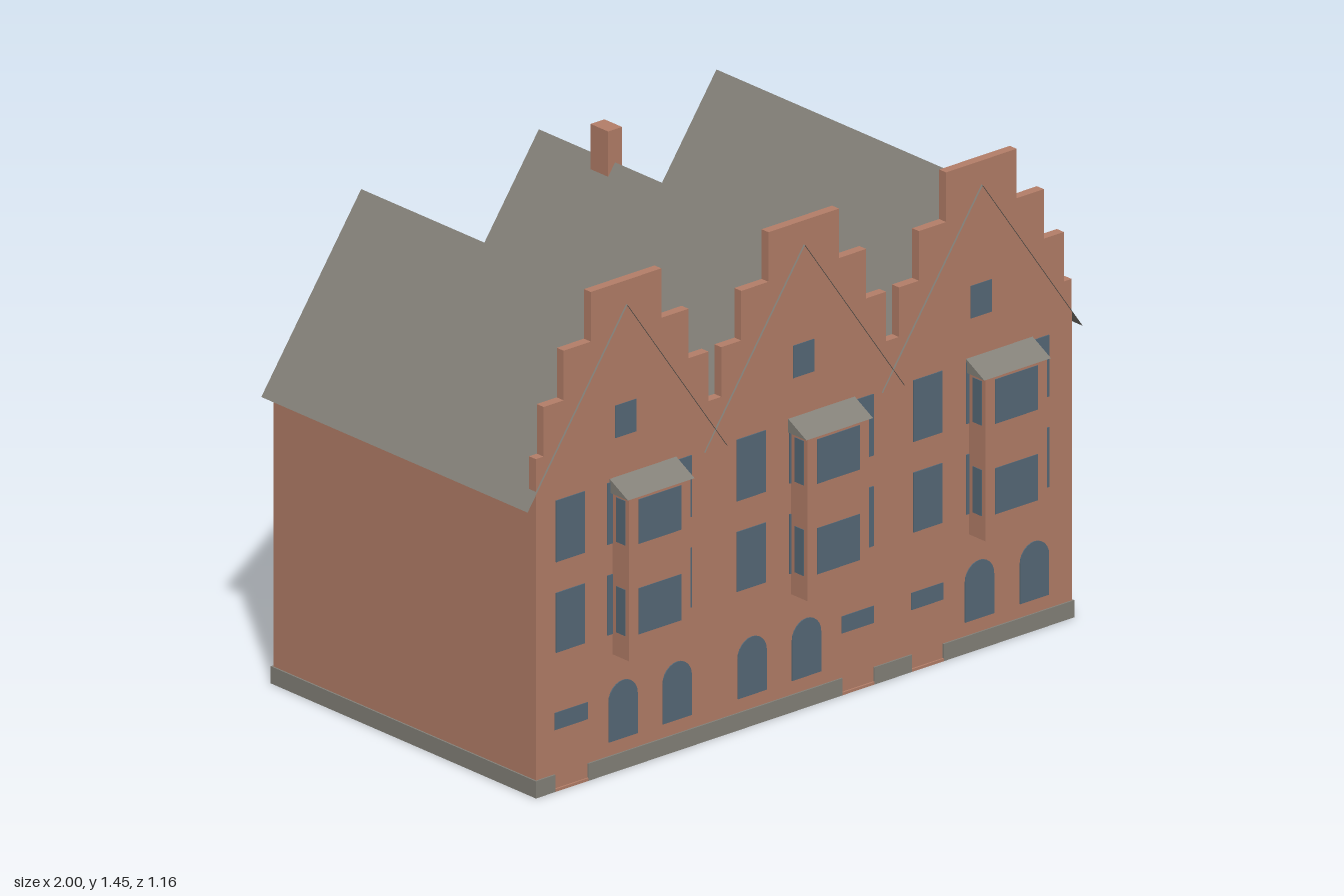
import * as THREE from 'three';

const brick = new THREE.MeshStandardMaterial({ name: 'brick', color: 0xb57f69, side: THREE.DoubleSide });
const slate = new THREE.MeshStandardMaterial({ name: 'slate', color: 0x85827a, side: THREE.DoubleSide });
const glass = new THREE.MeshStandardMaterial({ name: 'glass', color: 0x576a78, side: THREE.DoubleSide });

const FRONT = 0.505, BACK = -0.57, SIDE = 0.965;
const RIDGE = 1.355, SLOPE = 1.417, EAVE = 0.36;
const HOUSES = [-0.64, 0, 0.64];

export function createModel() {
  const model = new THREE.Group();
  model.name = 'townHouses';

  const add = (name, geometry, material, parent = model) => {
    const mesh = new THREE.Mesh(geometry, material);
    mesh.name = name;
    parent.add(mesh);
    return mesh;
  };
  // box given by its limits
  const box = (name, material, x0, x1, y0, y1, z0, z1, parent) =>
    add(name, new THREE.BoxGeometry(x1 - x0, y1 - y0, z1 - z0), material, parent)
      .position.set((x0 + x1) / 2, (y0 + y1) / 2, (z0 + z1) / 2);
  const shapeOf = (points) => new THREE.Shape(points.map(([x, y]) => new THREE.Vector2(x, y)));

  // gabled front and back walls, open underneath
  const eaveY = RIDGE - SLOPE * 0.325, valleyY = RIDGE - SLOPE * 0.32;
  const gables = shapeOf([
    [-SIDE, 0], [SIDE, 0], [SIDE, eaveY], [0.64, RIDGE], [0.32, valleyY],
    [0, RIDGE], [-0.32, valleyY], [-0.64, RIDGE], [-SIDE, eaveY],
  ]);
  add('frontWall', new THREE.ShapeGeometry(gables), brick).position.z = FRONT;
  const backWall = add('backWall', new THREE.ShapeGeometry(gables), brick);
  backWall.rotation.y = Math.PI;
  backWall.position.z = BACK;

  // side walls
  for (const s of [-1, 1]) {
    const wall = add(s > 0 ? 'leftWall' : 'rightWall', new THREE.PlaneGeometry(FRONT - BACK, eaveY), brick);
    wall.rotation.y = s * Math.PI / 2;
    wall.position.set(s * SIDE, eaveY / 2, (FRONT + BACK) / 2);
  }

  // thin pitched roofs crossing at the valleys
  const length = 1.09, drop = SLOPE * EAVE, width = Math.hypot(EAVE, drop);
  for (const x of HOUSES) {
    for (const s of [-1, 1]) {
      const slope = new THREE.PlaneGeometry(width, length);
      slope.rotateX(-Math.PI / 2);
      slope.rotateZ(-s * Math.atan(SLOPE));
      add('roofSlope', slope, slate).position.set(x + s * EAVE / 2, RIDGE - drop / 2, -0.035);
    }
  }

  // stepped parapets behind the front wall
  const steps = [[0.325, 0.99], [0.297, 1.135], [0.225, 1.28], [0.127, 1.425]];
  const outline = [[0.325, eaveY]];
  steps.forEach(([w, top], i) => {
    outline.push([w, top]);
    if (steps[i + 1]) outline.push([steps[i + 1][0], top]);
  });
  const parapet = shapeOf([...outline, ...outline.map(([x, y]) => [-x, y]).reverse()]);
  for (const x of HOUSES) {
    add('steppedGable', new THREE.ExtrudeGeometry(parapet, { depth: 0.028, bevelEnabled: false }), brick)
      .position.set(x, 0, 0.476);
  }

  // plinth, broken at the three doorsteps
  const doors = [[-0.9, -0.78], [0.135, 0.25], [0.385, 0.5]];
  let start = -SIDE;
  for (const [a, b] of [...doors, [SIDE, SIDE]]) {
    box('frontPlinth', slate, start, a, 0, 0.05, FRONT, 0.51);
    start = b;
  }
  box('backPlinth', slate, -0.97, 0.97, 0, 0.05, -0.576, BACK);
  for (const s of [-1, 1]) {
    const x = s * (SIDE + 0.0025);
    box('sidePlinth', slate, x - 0.0025, x + 0.0025, 0, 0.05, -0.576, 0.51);
  }
  for (const [a, b] of doors) {
    box('doorstep', brick, a, b, 0, 0.008, FRONT, 0.51);
    box('fanlight', glass, a, b, 0.18, 0.23, FRONT + 0.001, FRONT + 0.003);
  }

  // upper front windows
  const windowStarts = [-0.895, -0.71, -0.51, -0.243, -0.053, 0.145, 0.393, 0.583, 0.778];
  for (const x of windowStarts) {
    for (const [y0, y1] of [[0.405, 0.58], [0.67, 0.85]])
      box('frontWindow', glass, x, x + 0.104, y0, y1, FRONT - 0.003, FRONT + 0.003);
  }
  for (const x of [-0.643, -0.003, 0.637])
    box('atticWindow', glass, x - 0.038, x + 0.038, 0.975, 1.07, FRONT + 0.001, FRONT + 0.003);

  // arched ground-floor windows
  const r = 0.052;
  const arch = shapeOf([[-r, 0], [r, 0], [r, 0.118]]);
  arch.absarc(0, 0.118, r, 0, Math.PI, false);
  for (const x of [-0.653, -0.458, -0.188, 0.008, 0.631, 0.829]) {
    add('archedWindow', new THREE.ExtrudeGeometry(arch, { depth: 0.006, bevelEnabled: false, curveSegments: 6 }), glass)
      .position.set(x, 0.09, FRONT - 0.003);
  }

  // back windows
  for (const x of [-0.772, -0.505, 0.511, 0.78]) {
    for (const y of [0.085, 0.405, 0.67])
      box('backWindow', glass, x - 0.045, x + 0.045, y, y + 0.153, BACK - 0.003, BACK + 0.003);
  }

  // projecting bays with lean-to roofs
  const leanTo = shapeOf([[-FRONT, 0.82], [-0.58, 0.82], [-FRONT, 0.86]]);
  for (const x of [-0.58, 0.063, 0.704]) {
    const bay = new THREE.Group();
    bay.name = 'bay';
    bay.position.x = x;
    model.add(bay);
    box('bayBody', brick, -0.111, 0.111, 0.345, 0.82, FRONT + 0.001, 0.574, bay);
    const roof = add('bayRoof', new THREE.ExtrudeGeometry(leanTo, { depth: 0.24, bevelEnabled: false }), slate, bay);
    roof.rotation.y = Math.PI / 2;
    roof.position.x = -0.12;
    for (const [y0, y1] of [[0.415, 0.55], [0.68, 0.81]]) {
      box('bayWindow', glass, -0.077, 0.077, y0, y1, 0.574, 0.576, bay);
      for (const s of [-1, 1])
        box('baySideWindow', glass, s * 0.112 - 0.001, s * 0.112 + 0.001, y0, y1, 0.523, 0.56, bay);
    }
  }

  // chimney on the middle ridge
  box('chimney', brick, -0.025, 0.025, 1.3, 1.452, -0.34, -0.268);

  return model;
}
